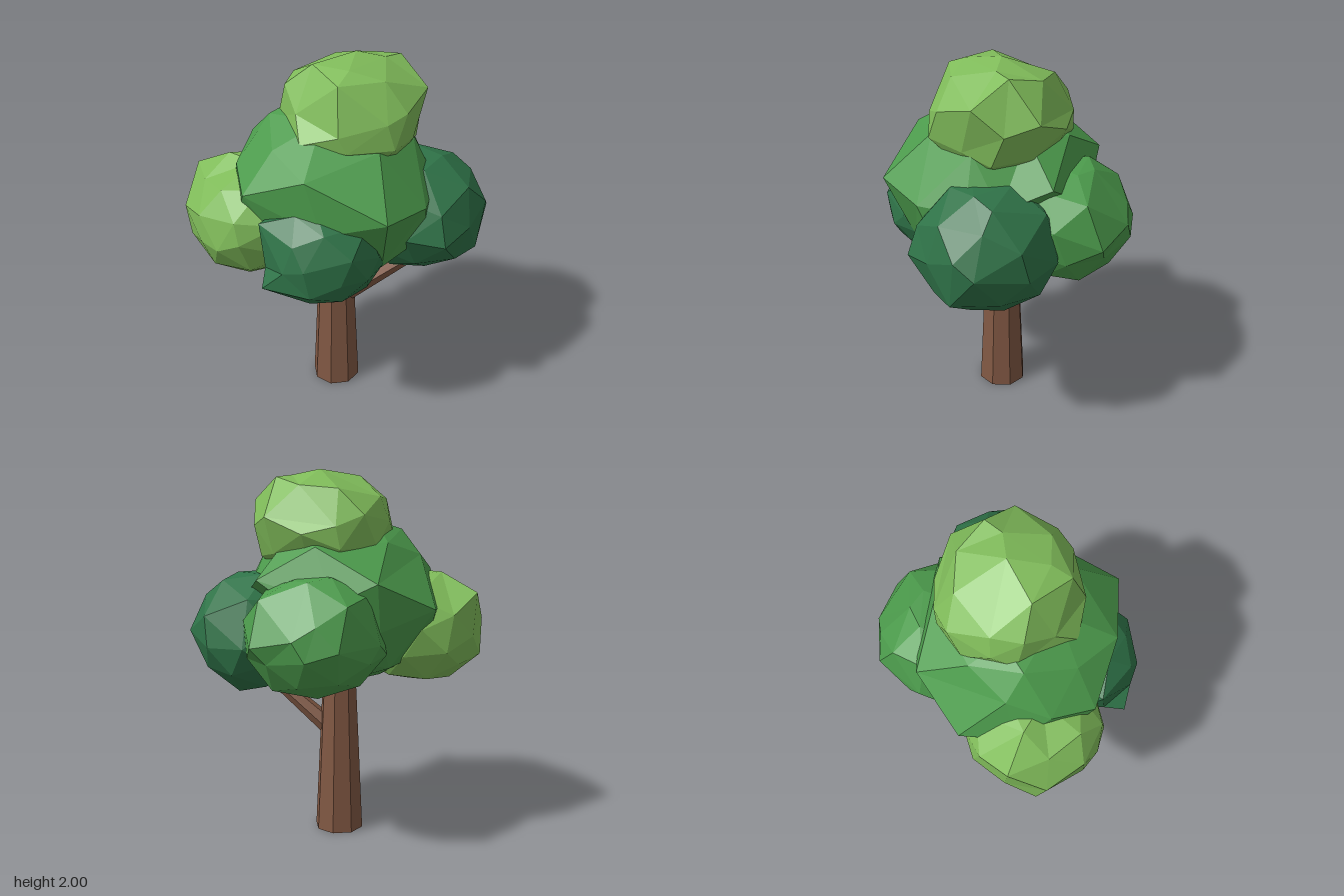
import * as THREE from 'three';
import { mergeVertices } from 'three/addons/utils/BufferGeometryUtils.js';

const mat = (name, color) => {
  const m = new THREE.MeshStandardMaterial({ color, flatShading: true });
  m.name = name;
  return m;
};

// Small seeded generator for the uneven foliage facets
function seeded(seed) {
  let s = seed * 7919 + 17;
  return () => (s = (s * 16807) % 2147483647) / 2147483647;
}

// Faceted leaf clump: jittered icosphere filling a box, its nearest vertices
// then pulled out to the given corner points
function clump(name, material, min, max, seed, corners) {
  let geo = new THREE.IcosahedronGeometry(1, 1);
  geo.deleteAttribute('uv');
  geo.deleteAttribute('normal');
  geo = mergeVertices(geo, 1e-3);
  geo.rotateY(seed * 0.7);
  geo.rotateX(seed * 0.4);
  const rand = seeded(seed);
  const pos = geo.attributes.position;
  const v = new THREE.Vector3();
  for (let i = 0; i < pos.count; i++) {
    v.fromBufferAttribute(pos, i).multiplyScalar(0.96 + rand() * 0.08);
    pos.setXYZ(i, v.x, v.y, v.z);
  }
  geo.center();
  const size = geo.boundingBox.getSize(new THREE.Vector3()).toArray();
  geo.scale(...size.map((s, i) => (max[i] - min[i]) / s));
  geo.translate(...min.map((n, i) => (n + max[i]) / 2));

  const used = new Set();
  for (const c of corners) {
    const target = new THREE.Vector3(...c);
    let best = -1;
    let bestDistance = 0.24;
    for (let i = 0; i < pos.count; i++) {
      const d = v.fromBufferAttribute(pos, i).distanceTo(target);
      if (!used.has(i) && d < bestDistance) [best, bestDistance] = [i, d];
    }
    if (best < 0) continue;
    used.add(best);
    pos.setXYZ(best, ...c);
  }
  geo.computeVertexNormals();
  const mesh = new THREE.Mesh(geo, material);
  mesh.name = name;
  return mesh;
}

// Tapered limb between two points
function limb(name, material, a, b, r0, r1, sides) {
  const from = new THREE.Vector3(...a);
  const dir = new THREE.Vector3(...b).sub(from);
  const mesh = new THREE.Mesh(new THREE.CylinderGeometry(r1, r0, dir.length(), sides), material);
  mesh.name = name;
  mesh.position.copy(from).addScaledVector(dir, 0.5);
  mesh.quaternion.setFromUnitVectors(new THREE.Vector3(0, 1, 0), dir.normalize());
  return mesh;
}

export function createModel() {
  const tree = new THREE.Group();
  tree.name = 'tree';
  const bark = mat('bark brown', 0x815843);
  const light = mat('light leaf green', 0x80bc5a);
  const middle = mat('middle leaf green', 0x4c9b4c);
  const dark = mat('dark leaf green', 0x2f7348);

  // Trunk and side branch
  tree.add(
    limb('trunk', bark, [-0.024, 0, 0.025], [-0.024, 1, 0.025], 0.136, 0.088, 8),
    limb('branch', bark, [0.05, 0.6, 0.025], [0.44, 0.92, 0.01], 0.053, 0.032, 6),
  );

  // Foliage clumps
  tree.add(
    clump('mainFoliage', middle, [-0.56, 0.86, -0.45], [0.5, 1.75, 0.55], 1, [
      [-0.58, 1.3, -0.17], [0.35, 1.36, 0.53], [-0.05, 1.54, 0.54], [-0.38, 1.4, 0.48],
      [-0.46, 1.56, 0.05], [-0.22, 1.74, 0], [0.37, 1.6, 0], [0.49, 1.32, 0.25],
      [0.43, 1.35, -0.18], [0.3, 1.45, -0.4], [-0.33, 1.45, -0.41], [0, 1.62, -0.36],
      [0.48, 1.1, 0.15], [0.3, 1.03, 0.38], [0.05, 1.3, -0.45],
    ]),
    clump('topFoliage', light, [-0.31, 1.38, -0.37], [0.43, 2.0, 0.36], 2, [
      [0.07, 2, -0.02], [0.43, 1.84, -0.03], [-0.31, 1.66, 0.08], [-0.26, 1.86, -0.05],
      [0.07, 1.7, 0.36], [0.07, 1.68, -0.37], [0.27, 1.96, -0.15], [0.29, 1.75, 0.27],
      [0.28, 1.76, -0.32], [-0.1, 1.72, -0.34], [-0.17, 1.75, 0.24], [0.08, 1.97, 0.18],
      [0.38, 1.6, 0.05],
    ]),
    clump('rightSideFoliage', light, [-0.77, 0.85, -0.16], [-0.06, 1.47, 0.55], 3, [
      [-0.76, 1.36, 0.1], [-0.77, 1.0, 0.25], [-0.61, 0.87, 0.2], [-0.56, 1.46, 0.15],
      [-0.4, 1.46, 0.22], [-0.62, 1.1, 0.47], [-0.39, 1.15, 0.55], [-0.38, 0.85, 0.2],
    ]),
    clump('leftSideFoliage', dark, [0.04, 0.82, -0.46], [0.76, 1.46, 0.28], 4, [
      [0.76, 1.14, -0.2], [0.73, 0.95, -0.05], [0.6, 1.1, 0.25], [0.56, 1.42, -0.2],
      [0.36, 1.1, -0.46], [0.6, 1.25, -0.37], [0.38, 0.82, -0.07], [0.45, 1.44, 0.08],
    ]),
    clump('frontFoliage', dark, [-0.3, 0.83, 0.1], [0.31, 1.38, 0.7], 5, [
      [-0.29, 1.28, 0.52], [-0.24, 1.0, 0.66], [-0.02, 1.14, 0.69], [0.24, 1.31, 0.45],
      [0.3, 1.13, 0.45], [0.15, 1.05, 0.63], [0, 1.37, 0.5], [-0.25, 0.98, 0.4],
    ]),
    clump('backFoliage', middle, [-0.36, 0.87, -0.7], [0.36, 1.48, -0.06], 6, [
      [-0.2, 1.15, -0.66], [0.02, 1.2, -0.7], [0.25, 1.15, -0.65], [0, 1.46, -0.5],
      [-0.35, 1.15, -0.42],
    ]),
  );
  return tree;
}
